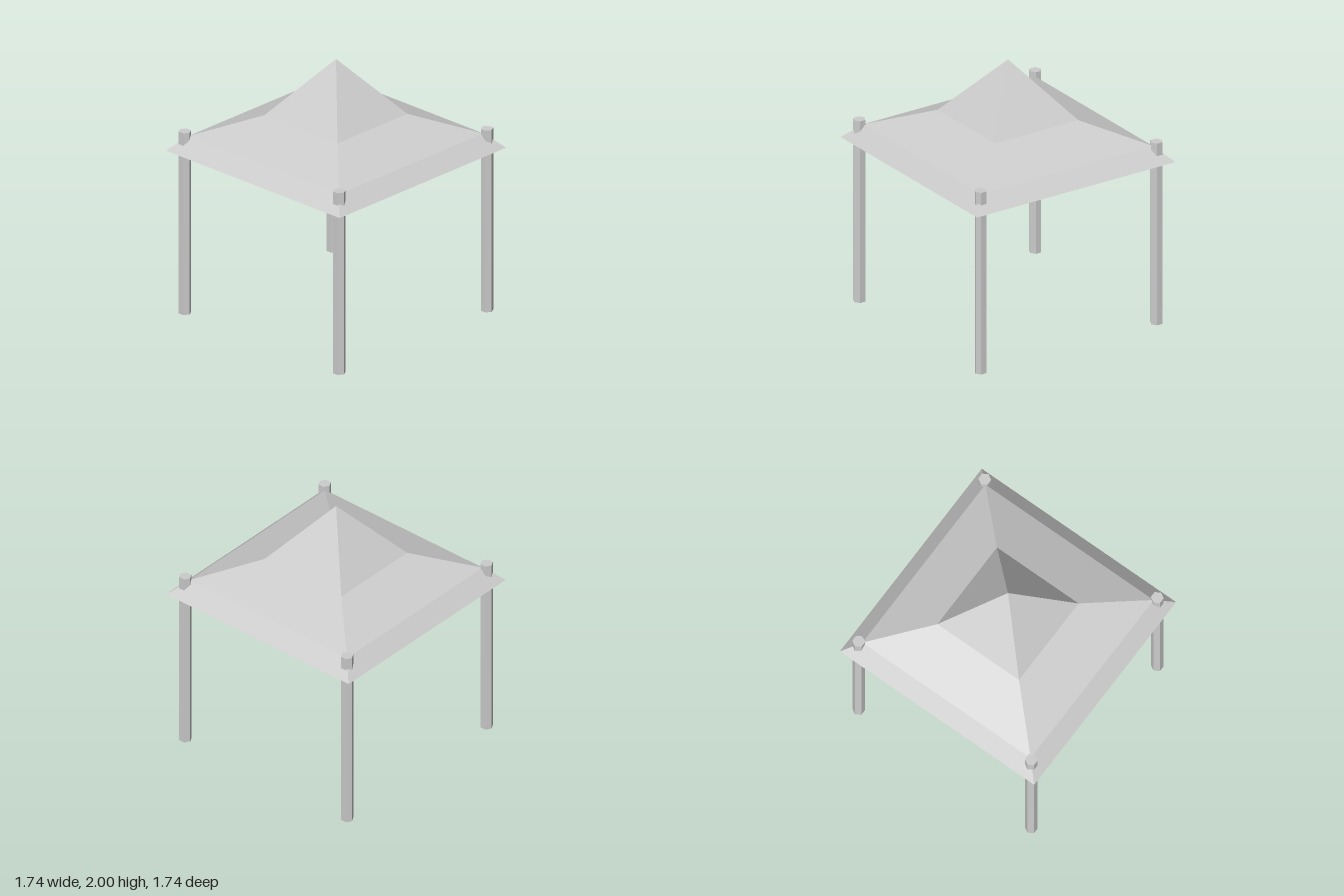
import * as THREE from 'three';

export function createModel() {
  const group = new THREE.Group();
  const grey = new THREE.MeshStandardMaterial({ color: 0xcccccc, flatShading: true });
  grey.name = 'light grey';

  const add = (name, geometry, x, y, z) => {
    const mesh = new THREE.Mesh(geometry, grey);
    mesh.name = name;
    mesh.position.set(x, y, z);
    group.add(mesh);
  };

  // Four-sided canopy: flat underside, steep rim, shallow slope, pointed peak.
  // Each pair is [half width, height].
  const profile = [[0, 1.285], [0.872, 1.285], [0.755, 1.4], [0.366, 1.56], [0, 2]]
    .map(([half, y]) => new THREE.Vector2(half * Math.SQRT2, y));
  const roof = new THREE.LatheGeometry(profile, 4, Math.PI / 4).toNonIndexed();
  roof.computeVertexNormals();
  add('roof', roof, 0, 0, 0);

  // Hexagonal corner posts, rising through the canopy
  const postHeight = 1.44;
  const post = new THREE.CylinderGeometry(0.047, 0.047, postHeight, 6);
  post.rotateY(Math.PI / 6);
  for (const [side, sx] of [['left', 1], ['right', -1]]) {
    for (const [end, sz] of [['front', 1], ['back', -1]]) {
      add(`${end} ${side} post`, post, sx * 0.774, postHeight / 2, sz * 0.774);
    }
  }

  // Box lamp hanging under the centre
  add('hanging lamp', new THREE.BoxGeometry(0.122, 0.19, 0.122), 0, 1.2, 0);

  return group;
}
